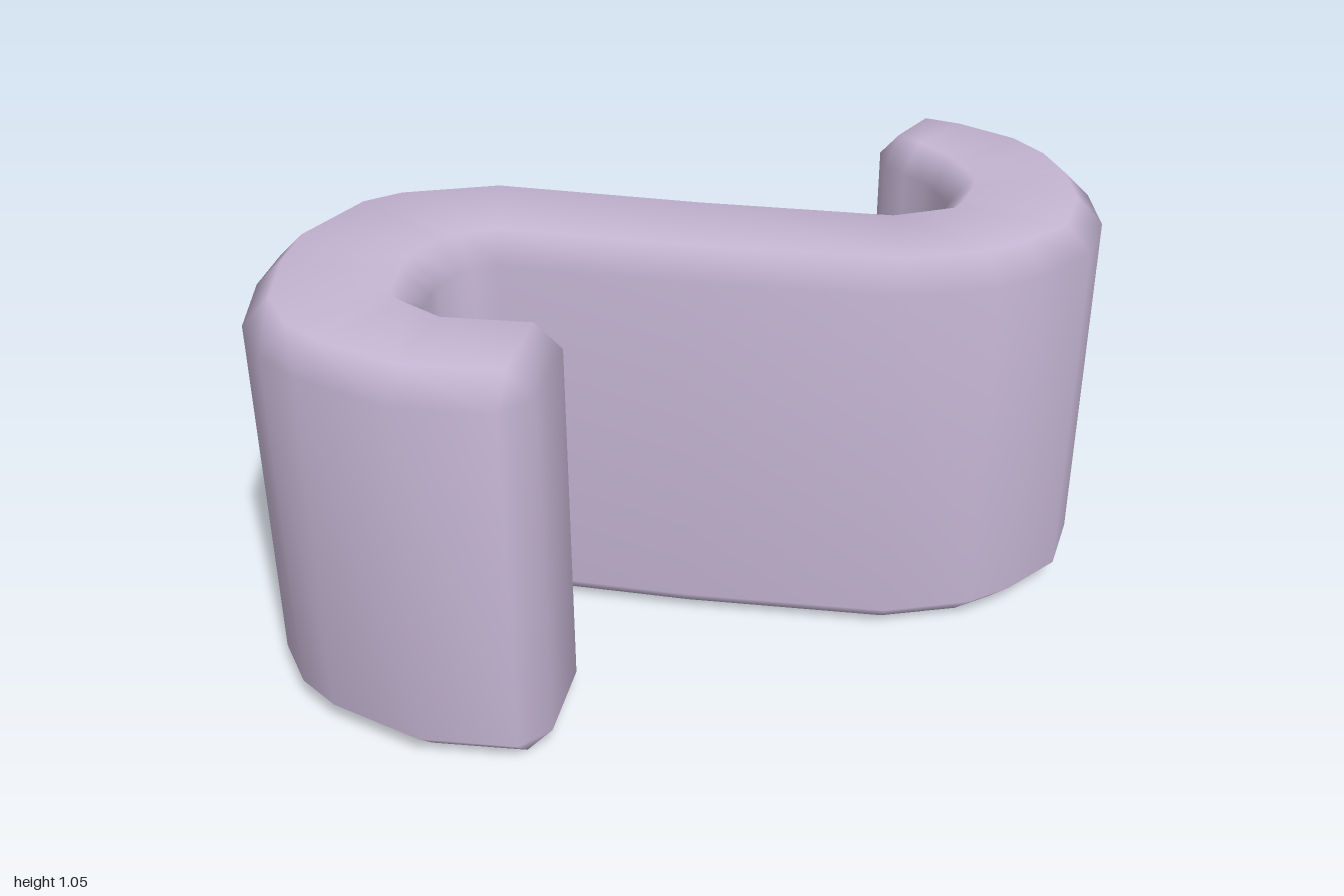
import * as THREE from 'three';
import { mergeVertices } from 'three/addons/utils/BufferGeometryUtils.js';

const HEIGHT = 1.05, BEVEL = 0.067;

// Plan of the S-shaped band: [x, z] of one edge, then of the opposite edge
const SECTIONS = [
  [-0.25, 0.73, -0.23, 0.51], // front hook tip
  [-0.32, 0.798, -0.285, 0.45],
  [-0.56, 0.798, -0.49, 0.45],
  [-0.79, 0.70, -0.555, 0.405],
  [-0.89, 0.62, -0.585, 0.385],
  [-0.97, 0.49, -0.583, 0.35],
  [-1.00, 0.29, -0.58, 0.30],
  [-0.99, 0.13, -0.575, 0.25],
  [-0.88, -0.09, -0.54, 0.18],
  [-0.79, -0.16, -0.51, 0.16],
  [-0.525, -0.245, -0.45, 0.13], // straight middle
  [0, -0.205, 0, 0.165],
  [0.47, -0.185, 0.52, 0.175],
  [0.53, -0.21, 0.74, 0.11],
  [0.585, -0.23, 0.84, 0.04],
  [0.595, -0.265, 0.96, -0.09],
  [0.61, -0.32, 1.00, -0.27],
  [0.615, -0.345, 0.975, -0.44],
  [0.585, -0.41, 0.92, -0.57],
  [0.555, -0.465, 0.84, -0.67],
  [0.50, -0.515, 0.68, -0.77],
  [0.45, -0.56, 0.585, -0.80],
  [0.435, -0.65, 0.49, -0.765], // back hook tip
];

// Sweep a bevelled rectangle through the sections; the tips narrow to a plain rectangle
function bandGeometry() {
  const positions = [], index = [], last = SECTIONS.length - 1, N = 8;
  SECTIONS.forEach(([ax, az, bx, bz], i) => {
    const tip = i === 0 || i === last;
    const t = tip ? 0 : BEVEL / Math.hypot(bx - ax, bz - az);
    const low = BEVEL, high = HEIGHT - BEVEL;
    const top = tip ? high : HEIGHT, bottom = tip ? low : 0;
    const ring = [[0, low], [0, high], [t, top], [1 - t, top],
      [1, high], [1, low], [1 - t, bottom], [t, bottom]];
    for (const [s, y] of ring) positions.push(ax + (bx - ax) * s, y, az + (bz - az) * s);
    if (i === last) return;
    for (let j = 0; j < N; j++) {
      const a = i * N + j, b = i * N + (j + 1) % N;
      index.push(a, b, b + N, a, b + N, a + N);
    }
  });
  // Tip faces
  const e = last * N;
  index.push(0, 4, 1, 0, 5, 4, e, e + 1, e + 4, e, e + 4, e + 5);
  const geometry = new THREE.BufferGeometry();
  geometry.setAttribute('position', new THREE.Float32BufferAttribute(positions, 3));
  geometry.setIndex(index);
  const merged = mergeVertices(geometry);
  merged.computeVertexNormals();
  return merged;
}

export function createModel() {
  const lilac = new THREE.MeshStandardMaterial({ color: 0xc5b5d3 });
  lilac.name = 'lilac';
  const band = new THREE.Mesh(bandGeometry(), lilac);
  band.name = 'curvedBand';
  const group = new THREE.Group();
  group.name = 'sHook';
  group.add(band);
  return group;
}
